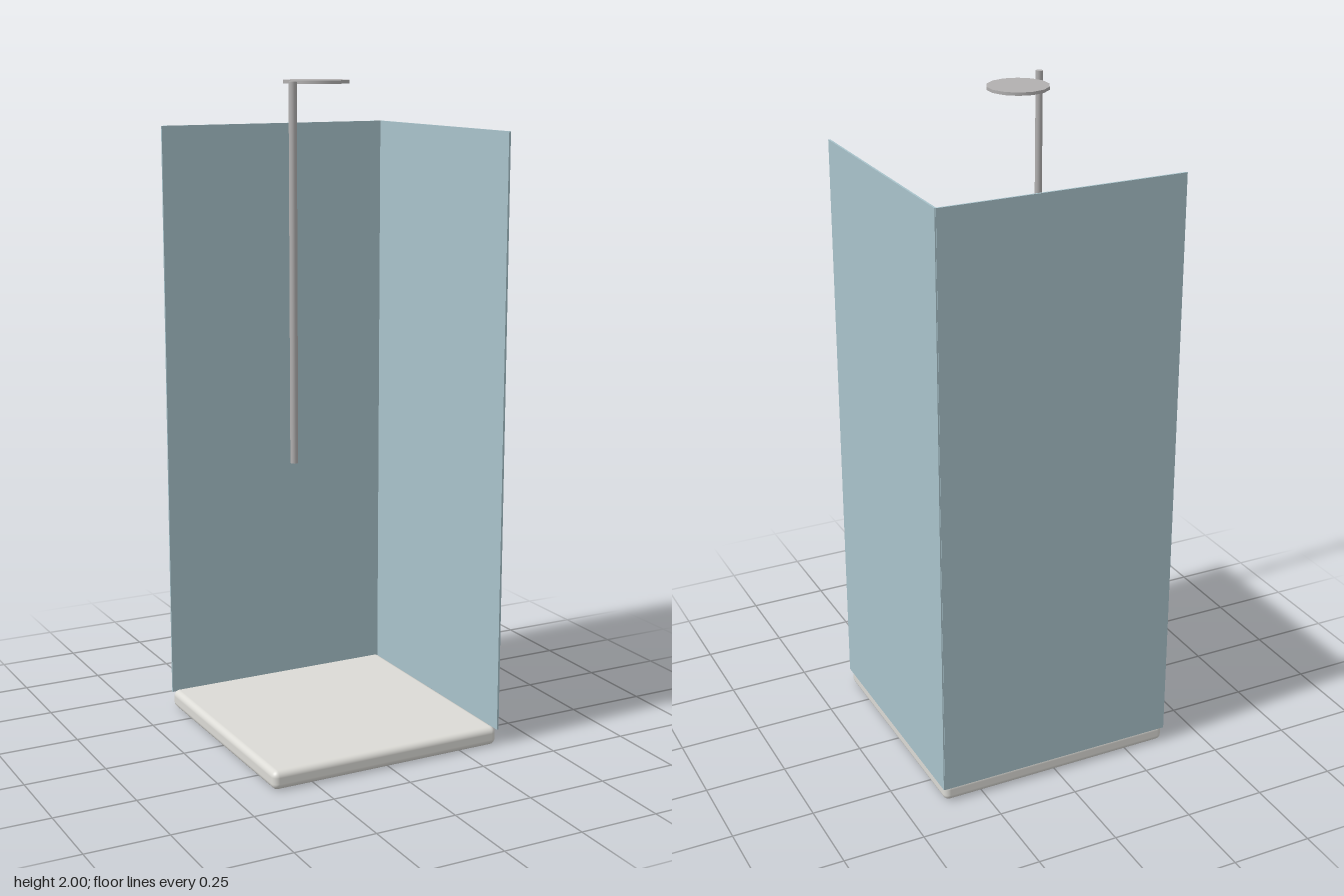
import * as THREE from 'three';
import { RoundedBoxGeometry } from 'three/addons/geometries/RoundedBoxGeometry.js';

export function createModel() {
  const group = new THREE.Group();
  const enamel = new THREE.MeshStandardMaterial({ color: 0xdcdbd6 });
  enamel.name = 'enamel';
  const glass = new THREE.MeshStandardMaterial({ color: 0xa9c3cb });
  glass.name = 'glass';
  const metal = new THREE.MeshStandardMaterial({ color: 0xb2b0b0 });
  metal.name = 'metal';

  const add = (name, geometry, material, x, y, z) => {
    const mesh = new THREE.Mesh(geometry, material);
    mesh.name = name;
    mesh.position.set(x, y, z);
    group.add(mesh);
  };

  const size = 0.755, thick = 0.006;
  const bottom = 0.048, top = 1.854;
  const panelHeight = top - bottom, panelY = (top + bottom) / 2;

  // Shower tray with softened edges
  add('tray', new RoundedBoxGeometry(size, 0.057, size, 4, 0.019), enamel, -0.003, 0.0285, 0.002);

  // Two glass walls meeting at the back left corner
  add('backPanel', new THREE.BoxGeometry(size + 0.002, panelHeight, thick), glass, -0.002, panelY, -0.377);
  add('sidePanel', new THREE.BoxGeometry(thick, panelHeight, size + 0.002), glass, 0.377, panelY, 0.0005);

  // Riser rail and overhead rain shower disc
  add('riserRail', new THREE.CylinderGeometry(0.0113, 0.0113, 1.05, 14), metal, -0.288, 1.475, 0.332);
  add('showerHead', new THREE.CylinderGeometry(0.0945, 0.0945, 0.0095, 14), metal, -0.145, 1.995, 0.19);

  return group;
}
